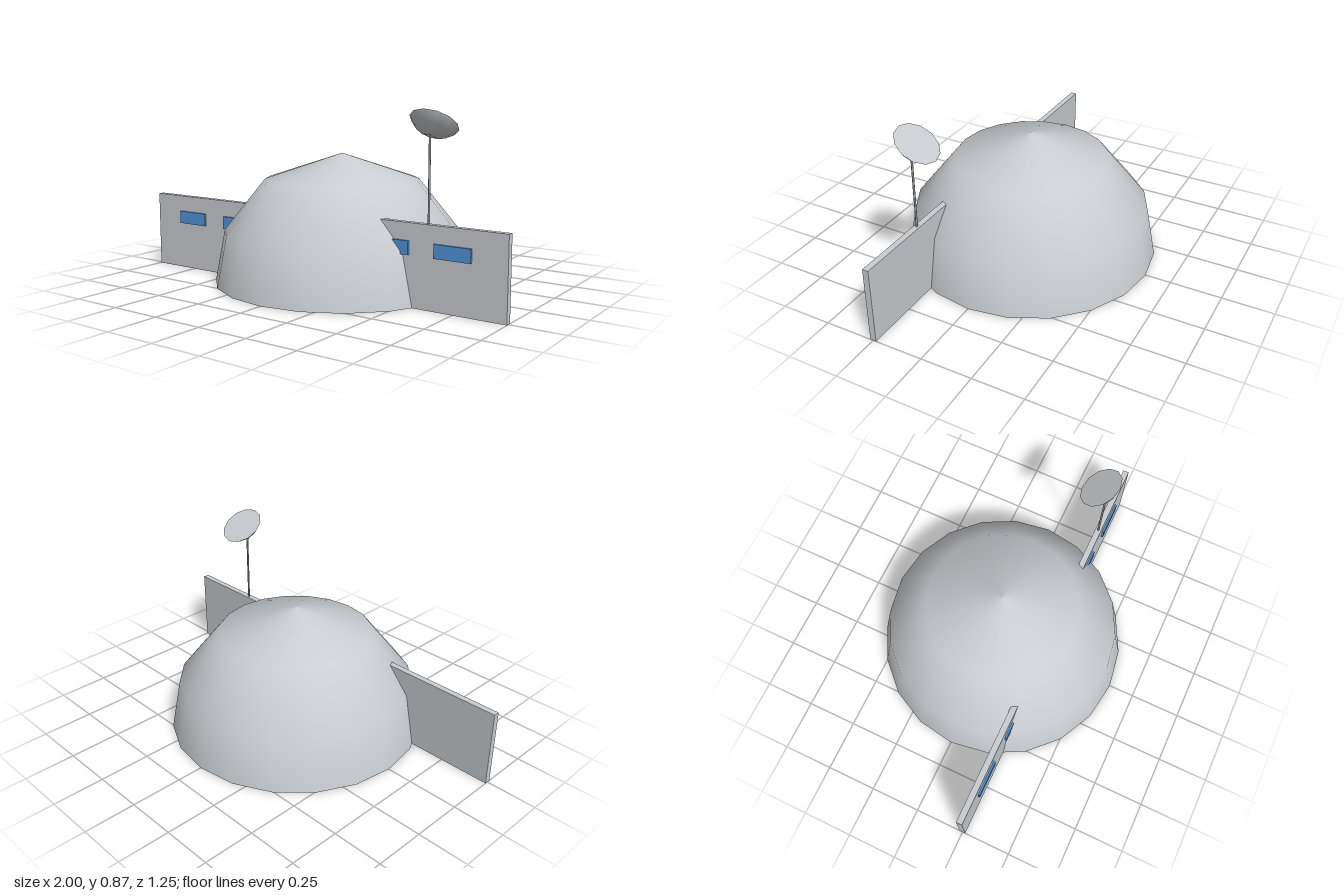
import * as THREE from 'three';

export function createModel() {
  const model = new THREE.Group();
  const shell = new THREE.MeshStandardMaterial({ name: 'pale grey shell', color: 0xc8ccd0 });
  const glass = new THREE.MeshStandardMaterial({ name: 'blue glass', color: 0x5094dc });
  const metal = new THREE.MeshStandardMaterial({ name: 'grey metal', color: 0x94989c });

  const add = (name, geometry, material, x = 0, y = 0, z = 0, parent = model) => {
    const mesh = new THREE.Mesh(geometry, material);
    mesh.name = name;
    mesh.position.set(x, y, z);
    parent.add(mesh);
    return mesh;
  };
  const lathe = (profile, sides) =>
    new THREE.LatheGeometry(profile.map(([r, y]) => new THREE.Vector2(r, y)), sides);

  // Dome and its flat underside
  add('dome', lathe([[0.623, 0], [0.575, 0.25], [0.375, 0.5], [0, 0.625]], 20), shell);
  add('domeFloor', new THREE.CircleGeometry(0.623, 20).rotateX(Math.PI / 2), shell);

  // Long wall running through the dome
  add('wall', new THREE.BoxGeometry(2, 0.375, 0.03), shell, 0, 0.1875, 0.25);

  // Windows on the front of the wall
  for (const side of [-1, 1]) {
    for (const x of [0.45, 0.75]) {
      add('window', new THREE.BoxGeometry(0.175, 0.0625, 0.0098), glass, side * x, 0.265, 0.27);
    }
  }

  // Antenna mast on top of the left wall
  add('mast', new THREE.CylinderGeometry(0.005, 0.005, 0.385, 8), metal, 0.625, 0.5625, 0.25);

  // Tilted dish with a flat face
  const dish = new THREE.Group();
  dish.name = 'dish';
  dish.position.set(0.625, 0.8025, 0.215);
  dish.rotation.x = -THREE.MathUtils.degToRad(35);
  model.add(dish);
  add('dishBowl', lathe([[0, -0.059], [0.074, -0.036], [0.11, 0]], 12), shell, 0, 0, 0, dish);
  add('dishFace', new THREE.CircleGeometry(0.11, 12).rotateX(-Math.PI / 2), shell, 0, 0, 0, dish);

  return model;
}
